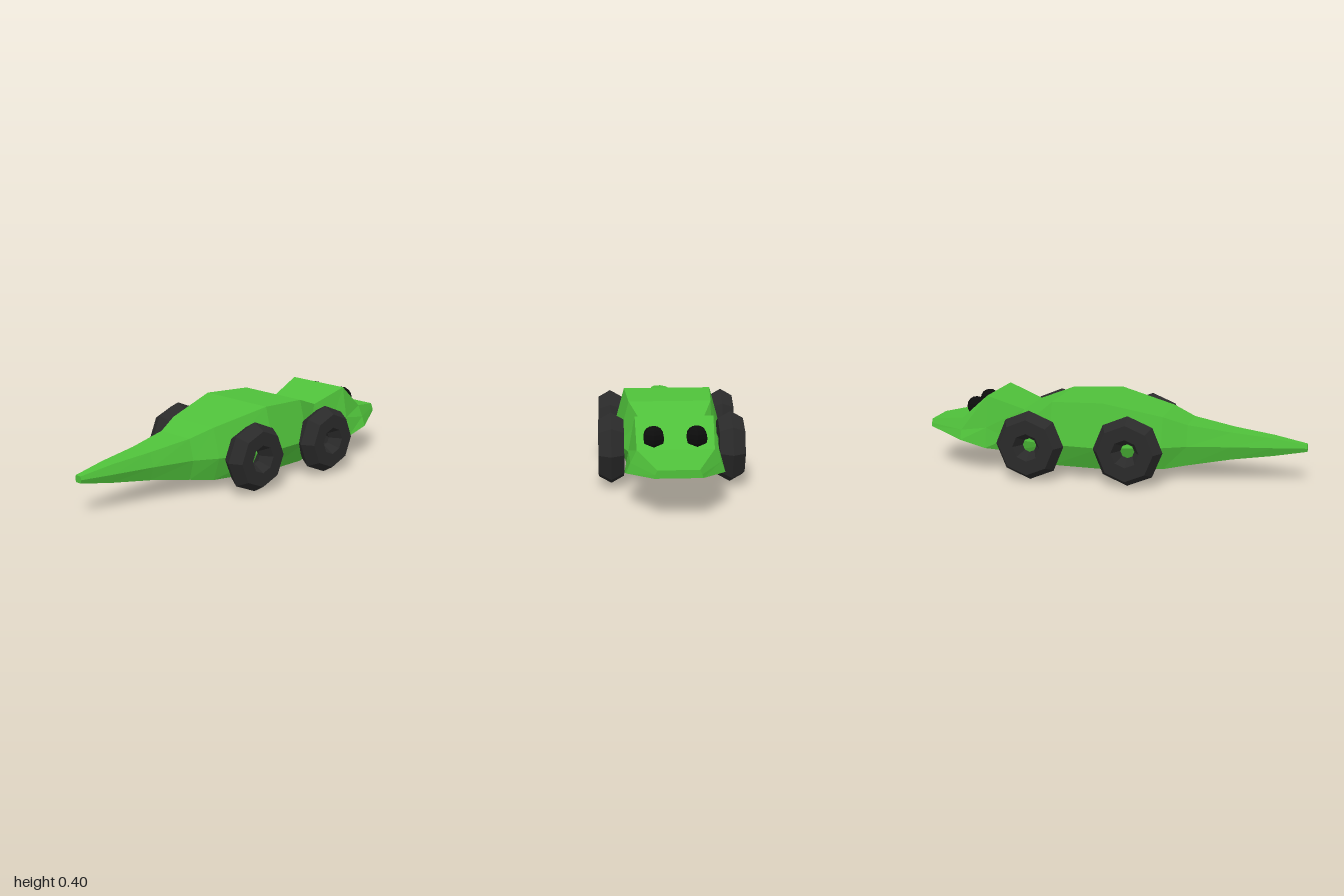
import * as THREE from 'three';

const material = (color) => new THREE.MeshStandardMaterial({
  color, flatShading: true, roughness: 0.9, metalness: 0,
});

// Six-sided cross-section: each level is [halfWidth, y, z]
function ring(top, mid, bottom) {
  const left = [top, mid, bottom];
  const v = ([w, y, z], s) => new THREE.Vector3(s * w, y, z);
  return [v(top, 1), ...left.map((p) => v(p, -1)), v(bottom, 1), v(mid, 1)];
}

// Upright section with all levels at the same z
const section = (z, wTop, yTop, wMid, yMid, wBot, yBot) =>
  ring([wTop, yTop, z], [wMid, yMid, z], [wBot, yBot, z]);

// Skin between successive rings (running from +z to -z), closed at both ends
function loft(rings) {
  const pos = [];
  const tri = (...pts) => pts.forEach((p) => pos.push(p.x, p.y, p.z));
  const n = rings[0].length;
  for (let i = 0; i < rings.length - 1; i++) {
    const a = rings[i], b = rings[i + 1];
    for (let j = 0; j < n; j++) {
      const k = (j + 1) % n;
      tri(a[j], b[j], b[k]);
      tri(a[j], b[k], a[k]);
    }
  }
  const first = rings[0], last = rings[rings.length - 1];
  for (let j = 1; j < n - 1; j++) {
    tri(first[0], first[j], first[j + 1]);
    tri(last[0], last[j + 1], last[j]);
  }
  const g = new THREE.BufferGeometry();
  g.setAttribute('position', new THREE.Float32BufferAttribute(pos, 3));
  g.computeVertexNormals();
  return g;
}

export function createModel() {
  const model = new THREE.Group();
  const green = material(0x4fc03a);
  const rubber = material(0x2a2a2a);
  const black = material(0x0c0c0c);

  const add = (name, geometry, mat, x = 0, y = 0, z = 0) => {
    const mesh = new THREE.Mesh(geometry, mat);
    mesh.name = name;
    mesh.position.set(x, y, z);
    model.add(mesh);
    return mesh;
  };

  // Body: tail tip, trunk, neck and wedge-shaped head
  add('body', loft([
    section(1.0, 0.018, 0.2, 0.024, 0.183, 0.018, 0.165),
    section(0.83, 0.04, 0.23, 0.056, 0.183, 0.04, 0.138),
    section(0.62, 0.068, 0.255, 0.09, 0.183, 0.068, 0.113),
    section(0.4, 0.108, 0.29, 0.137, 0.183, 0.108, 0.078),
    section(0.28, 0.155, 0.335, 0.197, 0.183, 0.155, 0.062),
    section(-0.02, 0.223, 0.405, 0.283, 0.183, 0.225, 0.062),
    section(-0.29, 0.205, 0.395, 0.262, 0.183, 0.21, 0.062),
    ring([0.15, 0.335, -0.46], [0.19, 0.183, -0.54], [0.17, 0.11, -0.54]),
    section(-0.65, 0.185, 0.405, 0.215, 0.24, 0.235, 0.135),
    section(-0.79, 0.18, 0.28, 0.21, 0.22, 0.23, 0.17),
    section(-1.0, 0.095, 0.243, 0.105, 0.222, 0.11, 0.205),
  ]), green);

  // Open-centred tyres and eyes, mirrored left and right
  const tyre = new THREE.TorusGeometry(0.108, 0.072, 6, 8).rotateY(Math.PI / 2);
  const eye = new THREE.SphereGeometry(0.055, 6, 8).rotateY(Math.PI / 6);
  for (const [side, s] of [['left', 1], ['right', -1]]) {
    add(`${side}FrontWheel`, tyre, rubber, s * 0.295, 0.183, -0.385);
    add(`${side}RearWheel`, tyre, rubber, s * 0.295, 0.183, 0.13);
    add(`${side}Eye`, eye, black, s * 0.1, 0.325, -0.74);
  }
  return model;
}
